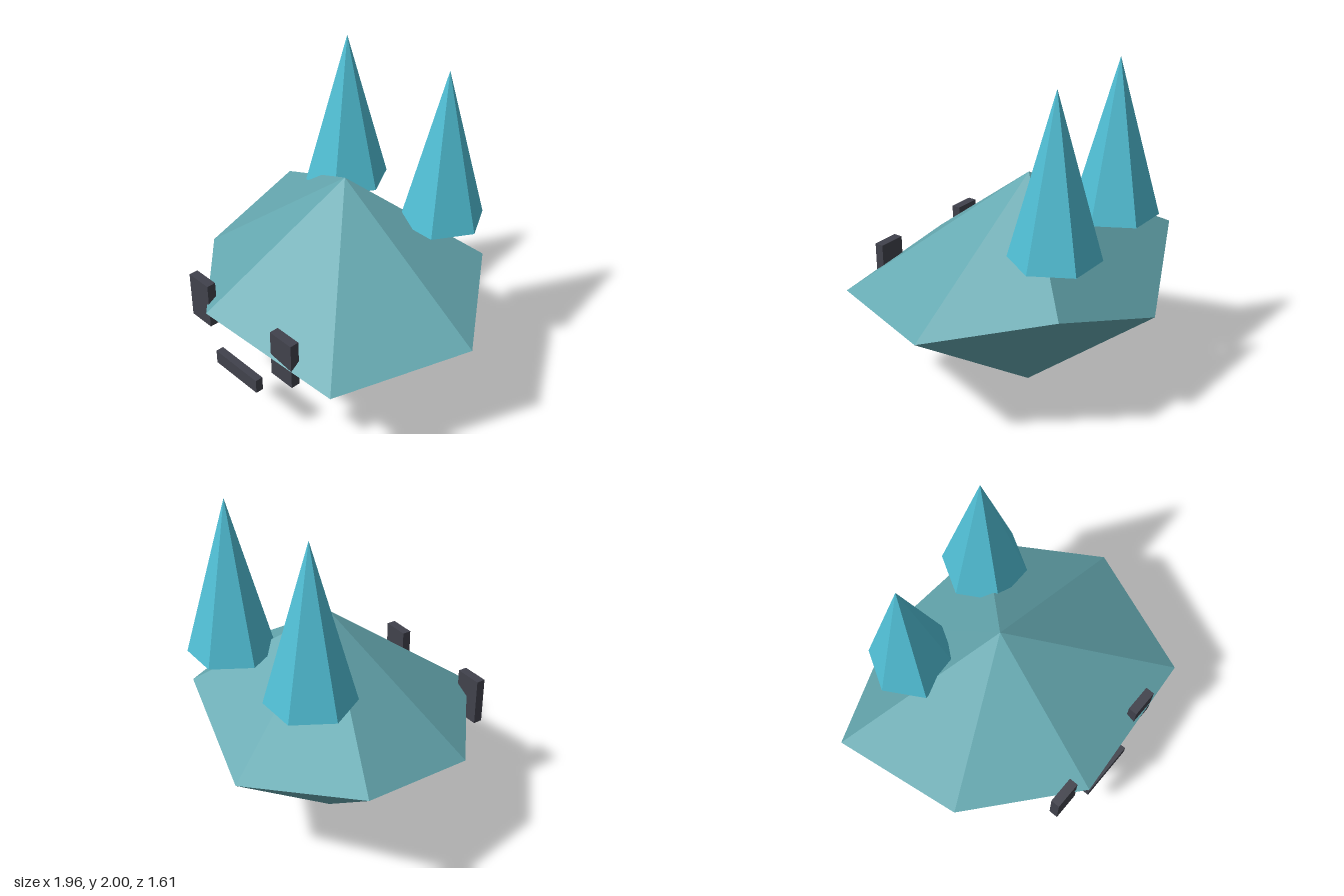
import * as THREE from 'three';

const mat = (name, color, extra = {}) => {
  const m = new THREE.MeshStandardMaterial({ color, ...extra });
  m.name = name;
  return m;
};

export function createModel() {
  const group = new THREE.Group();
  const bodyTeal = mat('bodyTeal', 0x65a8b0, { flatShading: true });
  const spikeCyan = mat('spikeCyan', 0x50bed4, { flatShading: true });
  const charcoal = mat('charcoal', 0x41424c, { flatShading: true });

  const add = (name, geometry, material, x = 0, y = 0, z = 0) => {
    const mesh = new THREE.Mesh(geometry, material);
    mesh.name = name;
    mesh.position.set(x, y, z);
    group.add(mesh);
    return mesh;
  };

  // Body: irregular seven-sided double pyramid around an uneven rim
  const rim = [
    [-0.98, 0.825, -0.46], [-0.22, 0.585, -0.805], [0.53, 0.835, -0.655],
    [0.975, 0.71, -0.06], [0.69, 0.665, 0.72], [-0.25, 0.725, 0.8], [-0.85, 0.69, 0.285],
  ];
  const top = [-0.025, 1.36, -0.06];
  const bottom = [-0.025, 0, -0.06];
  const corners = [];
  rim.forEach((p, i) => {
    const q = rim[(i + 1) % rim.length];
    corners.push(...top, ...q, ...p, ...bottom, ...p, ...q);
  });
  const body = new THREE.BufferGeometry();
  body.setAttribute('position', new THREE.Float32BufferAttribute(corners, 3));
  body.computeVertexNormals();
  add('body', body, bodyTeal);

  // Two six-sided spikes, each with corners pointing sideways
  const spike = new THREE.ConeGeometry(0.255, 0.92, 6).rotateY(Math.PI / 6);
  add('rightSpike', spike, spikeCyan, -0.383, 1.54, -0.415);
  add('leftSpike', spike, spikeCyan, 0.332, 1.54, -0.488);

  // Face: block eyes and a bar mouth
  const eye = new THREE.BoxGeometry(0.167, 0.285, 0.055);
  add('rightEye', eye, charcoal, -0.383, 0.712, 0.715);
  add('leftEye', eye, charcoal, 0.328, 0.712, 0.715);
  add('mouth', new THREE.BoxGeometry(0.355, 0.087, 0.047), charcoal, -0.027, 0.427, 0.76);

  return group;
}
